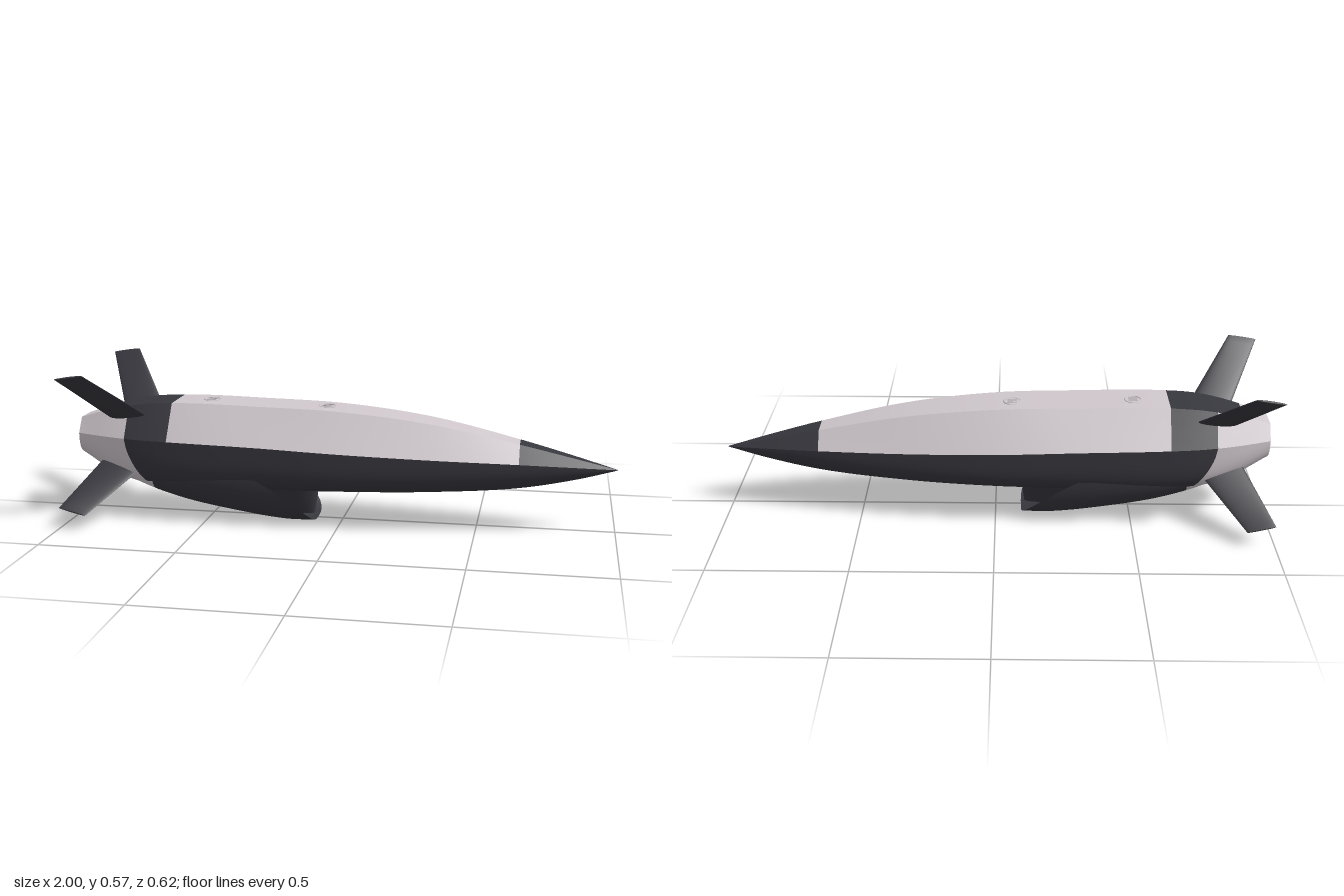
import * as THREE from 'three';

const white = new THREE.MeshStandardMaterial({ name: 'paleGrey', color: 0xd0c8cd, side: THREE.DoubleSide });
const dark = new THREE.MeshStandardMaterial({ name: 'charcoal', color: 0x37373e, side: THREE.DoubleSide });

const lerp = THREE.MathUtils.lerp;

// Smooth interpolation through rows of [x, ...values]
function track(rows) {
  const size = rows[0].length - 1;
  const curve = new THREE.CubicInterpolant(rows.map(r => r[0]), rows.flatMap(r => r.slice(1)), size, new Float32Array(size));
  return x => Array.from(curve.evaluate(x));
}

// Hull stations: x, half width, deck half width, deck y, shoulder y, keel y, belly squareness
const hull = track([
  [-1, 0.08, 0.045, 0.365, 0.31, 0.225, 2.6],
  [-0.87, 0.125, 0.068, 0.405, 0.31, 0.155, 3],
  [-0.75, 0.155, 0.08, 0.43, 0.31, 0.125, 3.5],
  [-0.6, 0.172, 0.083, 0.44, 0.31, 0.12, 4],
  [-0.3, 0.18, 0.083, 0.437, 0.305, 0.125, 4],
  [0, 0.172, 0.08, 0.428, 0.292, 0.13, 4],
  [0.33, 0.14, 0.066, 0.392, 0.277, 0.137, 3.3],
  [0.65, 0.09, 0.042, 0.325, 0.262, 0.158, 2.5],
  [0.85, 0.043, 0.021, 0.276, 0.248, 0.195, 2.2],
  [1, 0.001, 0.0005, 0.237, 0.236, 0.235, 2],
]);

// Scoop stations: x, half width, keel y
const scoop = track([
  [-0.87, 0.09, 0.17],
  [-0.75, 0.13, 0.115],
  [-0.6, 0.155, 0.068],
  [-0.4, 0.168, 0.03],
  [-0.2, 0.168, 0.004],
  [-0.09, 0.165, 0.005],
]);
const SCOOP_TOP = 0.2;

// Grid surface from point(u, v) -> [x, y, z]
function patch(name, material, nu, nv, point) {
  const pos = [], index = [];
  for (let i = 0; i <= nu; i++) for (let j = 0; j <= nv; j++) pos.push(...point(i / nu, j / nv));
  for (let i = 0; i < nu; i++) for (let j = 0; j < nv; j++) {
    const a = i * (nv + 1) + j, b = a + nv + 1;
    index.push(a, b, a + 1, b, b + 1, a + 1);
  }
  const geo = new THREE.BufferGeometry();
  geo.setAttribute('position', new THREE.Float32BufferAttribute(pos, 3));
  geo.setIndex(index);
  geo.computeVertexNormals();
  const mesh = new THREE.Mesh(geo, material);
  mesh.name = name;
  return mesh;
}

// Rounded-square underside, v from -z through the keel to +z
function under(v, w, top, keel, n) {
  const a = Math.PI * v, p = 2 / n, c = Math.cos(a);
  return [top - (top - keel) * Math.pow(Math.max(0, Math.sin(a)), p), -w * Math.sign(c) * Math.pow(Math.abs(c), p)];
}

function deck(x, v) {
  const [, tw, yt] = hull(x);
  return [x, yt, lerp(tw, -tw, v)];
}
function slant(x, v, side) {
  const [w, tw, yt, ys] = hull(x);
  const t = side > 0 ? v : 1 - v;
  return [x, lerp(ys, yt, t), side * lerp(w, tw, t)];
}
function belly(x, v) {
  const [w, , , ys, yb, n] = hull(x);
  return [x, ...under(v, w, ys, yb, n)];
}

function buildHull() {
  const g = new THREE.Group();
  g.name = 'hull';
  // Painted lengths: tail, band, main panel, nose
  const bands = [['tail', white, 12], ['band', dark, 10], ['panel', white, 40], ['nose', dark, 20]];
  const deckCuts = [-1, -0.9, -0.63, 0.65, 1], slantCuts = [-1, -0.8, -0.63, 0.65, 1];
  bands.forEach(([name, mat, n], i) => {
    g.add(patch(name + 'Deck', mat, n, 2, (u, v) => deck(lerp(deckCuts[i], deckCuts[i + 1], u), v)));
    for (const side of [1, -1]) {
      g.add(patch(name + (side > 0 ? 'LeftSlope' : 'RightSlope'), mat, n, 3,
        (u, v) => slant(lerp(slantCuts[i], slantCuts[i + 1], u), v, side)));
    }
  });
  // Underside, with a tail colour break that runs forward toward the keel
  const cut = v => -0.8 + 0.1 * Math.sin(Math.PI * v);
  g.add(patch('tailBelly', white, 14, 48, (u, v) => belly(lerp(-1, cut(v), u), v)));
  g.add(patch('belly', dark, 70, 48, (u, v) => belly(lerp(cut(v), 1, u), v)));

  // Flat rear plate
  const [w, tw, yt, ys, yb, n] = hull(-1);
  const pts = [new THREE.Vector2(tw, yt), new THREE.Vector2(-tw, yt)];
  for (let j = 0; j <= 32; j++) {
    const [y, z] = under(j / 32, w, ys, yb, n);
    pts.push(new THREE.Vector2(z, y));
  }
  const rear = new THREE.Mesh(new THREE.ShapeGeometry(new THREE.Shape(pts)), dark);
  rear.name = 'rearPlate';
  rear.rotation.y = -Math.PI / 2;
  rear.position.x = -1;
  g.add(rear);
  return g;
}

function buildIntake() {
  const g = new THREE.Group();
  g.name = 'intake';
  const skin = (x, v) => {
    const [w, keel] = scoop(x);
    return [x, ...under(v, w, SCOOP_TOP, keel, 2.6)];
  };
  // Mouth edge is swept back toward the hull
  const lip = v => {
    const s = Math.pow(Math.max(0, Math.sin(Math.PI * v)), 2 / 2.6);
    return -0.095 - 0.24 * Math.pow(1 - s, 1.5);
  };
  g.add(patch('scoopTail', white, 8, 40, (u, v) => skin(lerp(-0.87, -0.7, u), v)));
  g.add(patch('scoopSkin', dark, 30, 40, (u, v) => skin(lerp(-0.7, lip(v), u), v)));
  // Hollow bowl behind the mouth
  g.add(patch('intakeBowl', dark, 12, 40, (u, v) => {
    const [x, y, z] = skin(lip(v), v), k = 1 - u * u;
    return [lerp(x, -0.34, u), 0.14 + (y - 0.14) * k, z * k];
  }));
  // Tapered ramp in the middle of the mouth
  g.add(patch('intakeRamp', dark, 8, 16, (u, v) => {
    const t = 2 * v - 1;
    return [lerp(-0.09, -0.108, u) - 0.17 * Math.abs(t) ** 3, lerp(0.145, 0.02, u), lerp(0.095, 0.03, u) * t];
  }));
  return g;
}

// Swept fin; root and tip are [leading x, y, trailing x, y, z]
function buildFin(name, root, tip, side) {
  const across = new THREE.Vector2(tip[4] - root[4], (tip[1] + tip[3] - root[1] - root[3]) / 2).normalize();
  return patch(name, dark, 12, 24, (u, v) => {
    const span = Math.min(1, u * 12 / 11);
    const s = root.map((r, i) => lerp(r, tip[i], span));
    const a = v * Math.PI * 2, c = (1 - Math.cos(a)) / 2;
    const h = u === 1 ? 0 : lerp(0.011, 0.004, span) * Math.sin(a);
    return [lerp(s[0], s[2], c), lerp(s[1], s[3], c) + across.x * h, side * (s[4] - across.y * h)];
  });
}

// Flush lifting point: ring with slots
function buildLug(x) {
  const g = new THREE.Group();
  g.name = 'liftingPoint';
  const ring = new THREE.Mesh(new THREE.TorusGeometry(0.03, 0.003, 6, 28), white);
  ring.name = 'lugRing';
  ring.rotation.x = Math.PI / 2;
  g.add(ring);
  for (const z of [-0.012, 0, 0.012]) {
    const bar = new THREE.Mesh(new THREE.BoxGeometry(0.034, 0.005, 0.004), white);
    bar.name = 'lugBar';
    bar.position.z = z;
    g.add(bar);
  }
  g.position.set(x, hull(x)[2], -0.008);
  return g;
}

export function createModel() {
  const model = new THREE.Group();
  model.name = 'cruiseMissile';
  model.add(buildHull(), buildIntake(), buildLug(-0.5), buildLug(-0.06));
  for (const side of [1, -1]) {
    const s = side > 0 ? 'left' : 'right';
    model.add(buildFin(s + 'UpperFin', [-0.71, 0.375, -0.87, 0.375, 0.08], [-0.885, 0.573, -0.99, 0.557, 0.308], side));
    model.add(buildFin(s + 'LowerFin', [-0.725, 0.21, -0.9, 0.22, 0.085], [-0.9, 0.056, -1, 0.08, 0.305], side));
  }
  return model;
}
